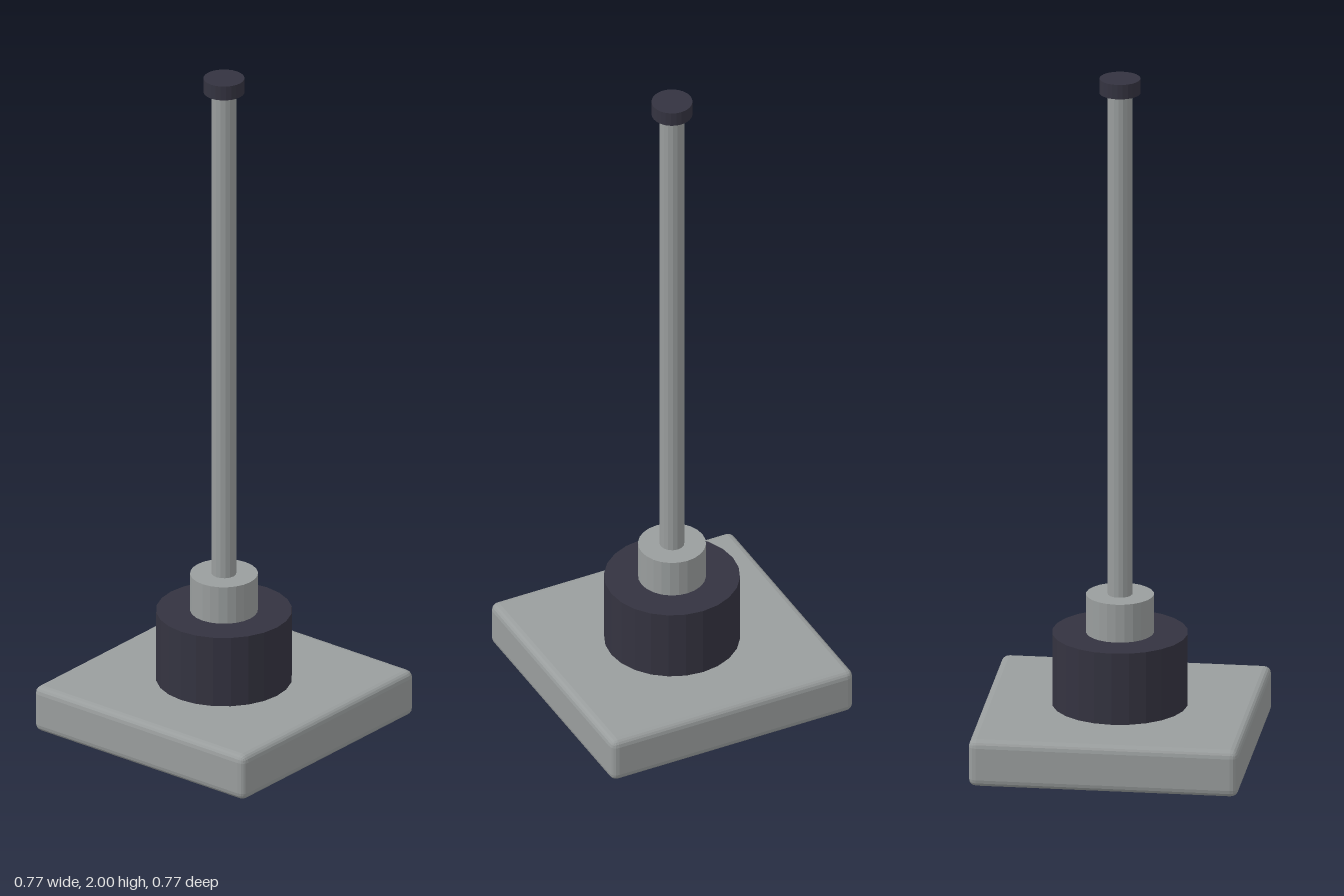
import * as THREE from 'three';
import { RoundedBoxGeometry } from 'three/addons/geometries/RoundedBoxGeometry.js';

// Faceted normals for every part
function faceted(geometry) {
  const g = geometry.index ? geometry.toNonIndexed() : geometry;
  g.computeVertexNormals();
  return g;
}

export function createModel() {
  const group = new THREE.Group();
  group.name = 'postOnBase';

  const steel = new THREE.MeshStandardMaterial({ color: 0x999d9d });
  steel.name = 'steelGrey';
  const dark = new THREE.MeshStandardMaterial({ color: 0x343340 });
  dark.name = 'darkSlate';

  // Square base plate with softened edges
  const baseHeight = 0.138;
  const base = new THREE.Mesh(
    faceted(new RoundedBoxGeometry(0.766, baseHeight, 0.766, 2, 0.022)), steel);
  base.name = 'basePlate';
  base.position.y = baseHeight / 2;
  group.add(base);

  // Stacked round parts: name, radius, bottom, top, sides, material
  const rounds = [
    ['housing', 0.192, 0.138, 0.35, 24, dark],
    ['collar', 0.096, 0.35, 0.463, 24, steel],
    ['pole', 0.035, 0.463, 1.957, 16, steel],
    ['topCap', 0.058, 1.957, 2, 24, dark],
  ];
  for (const [name, radius, bottom, top, sides, material] of rounds) {
    const mesh = new THREE.Mesh(
      faceted(new THREE.CylinderGeometry(radius, radius, top - bottom, sides)), material);
    mesh.name = name;
    mesh.position.y = (bottom + top) / 2;
    group.add(mesh);
  }
  return group;
}
